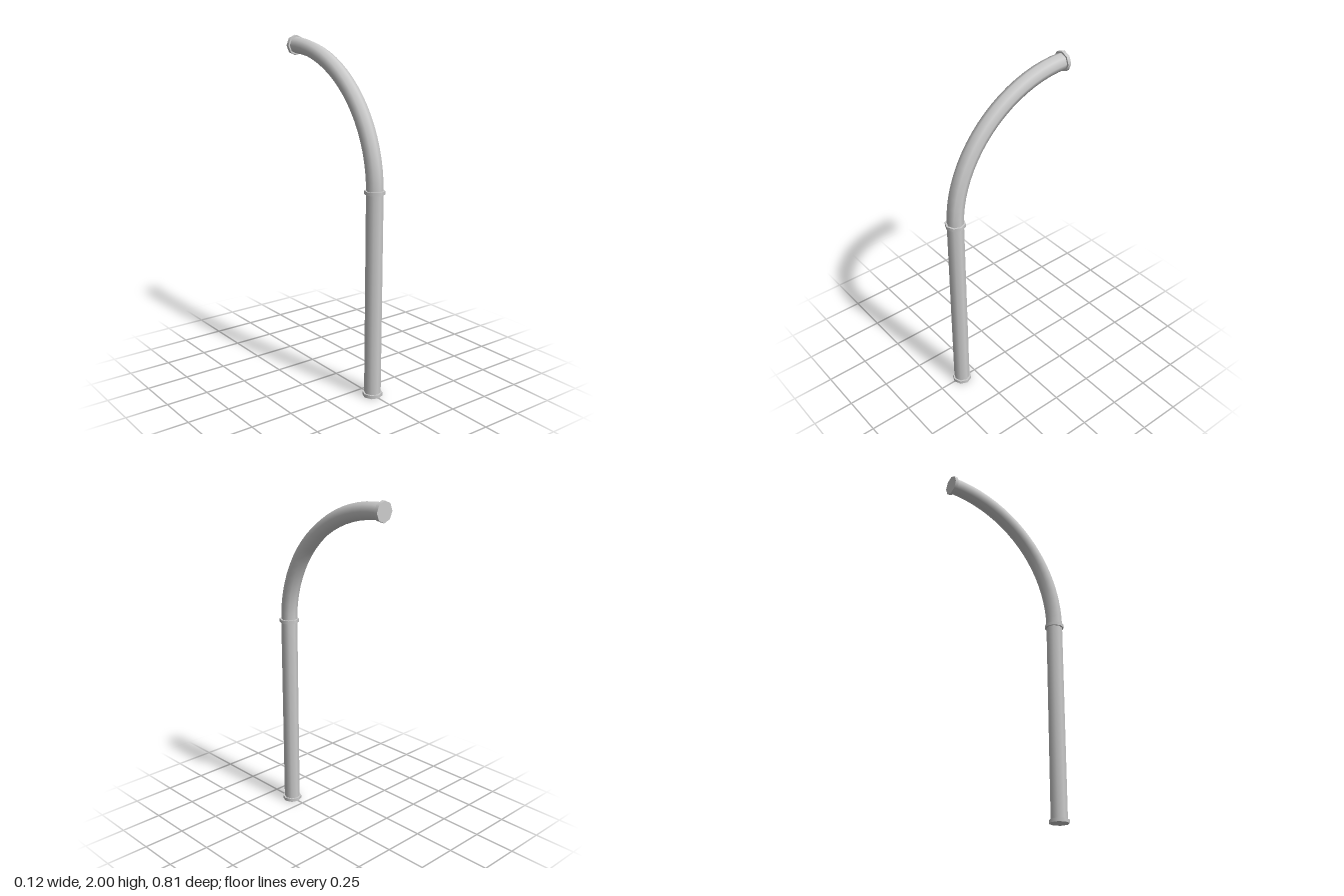
import * as THREE from 'three';

const SIDES = 8;
const PIPE_R = 0.048, COLLAR_R = 0.058, COLLAR_H = 0.02;
const POST_Z = 0.347, BEND_Y = 1.2, BEND_R = 0.742;

// Quarter-circle centre line, rising from the post and sweeping back to -z
class BendCurve extends THREE.Curve {
  getPoint(t, target = new THREE.Vector3()) {
    const a = t * Math.PI / 2;
    return target.set(0, BEND_Y + BEND_R * Math.sin(a), POST_Z - BEND_R * (1 - Math.cos(a)));
  }
  getTangent(t, target = new THREE.Vector3()) {
    const a = t * Math.PI / 2;
    return target.set(0, Math.cos(a), -Math.sin(a));
  }
}

export function createModel() {
  const group = new THREE.Group();
  const material = new THREE.MeshStandardMaterial({ color: 0xcccccc });

  const add = (name, geometry, y, z) => {
    const mesh = new THREE.Mesh(geometry, material);
    mesh.name = name;
    mesh.position.set(0, y, z);
    group.add(mesh);
    return mesh;
  };
  const collar = (name, y, z) =>
    add(name, new THREE.CylinderGeometry(COLLAR_R, COLLAR_R, COLLAR_H, SIDES), y, z);

  // Straight lower pipe
  add('straightPipe', new THREE.CylinderGeometry(PIPE_R, PIPE_R, BEND_Y - 0.01, SIDES, 1, true),
    (BEND_Y + 0.01) / 2, POST_Z);

  // Curved upper pipe
  add('bentPipe', new THREE.TubeGeometry(new BendCurve(), 20, PIPE_R, SIDES, false), 0, 0);

  // Collars at the foot, the joint and the outlet
  collar('footCollar', COLLAR_H / 2, POST_Z);
  collar('jointCollar', BEND_Y, POST_Z);
  collar('endCollar', BEND_Y + BEND_R, POST_Z - BEND_R).rotation.x = -Math.PI / 2;

  return group;
}
